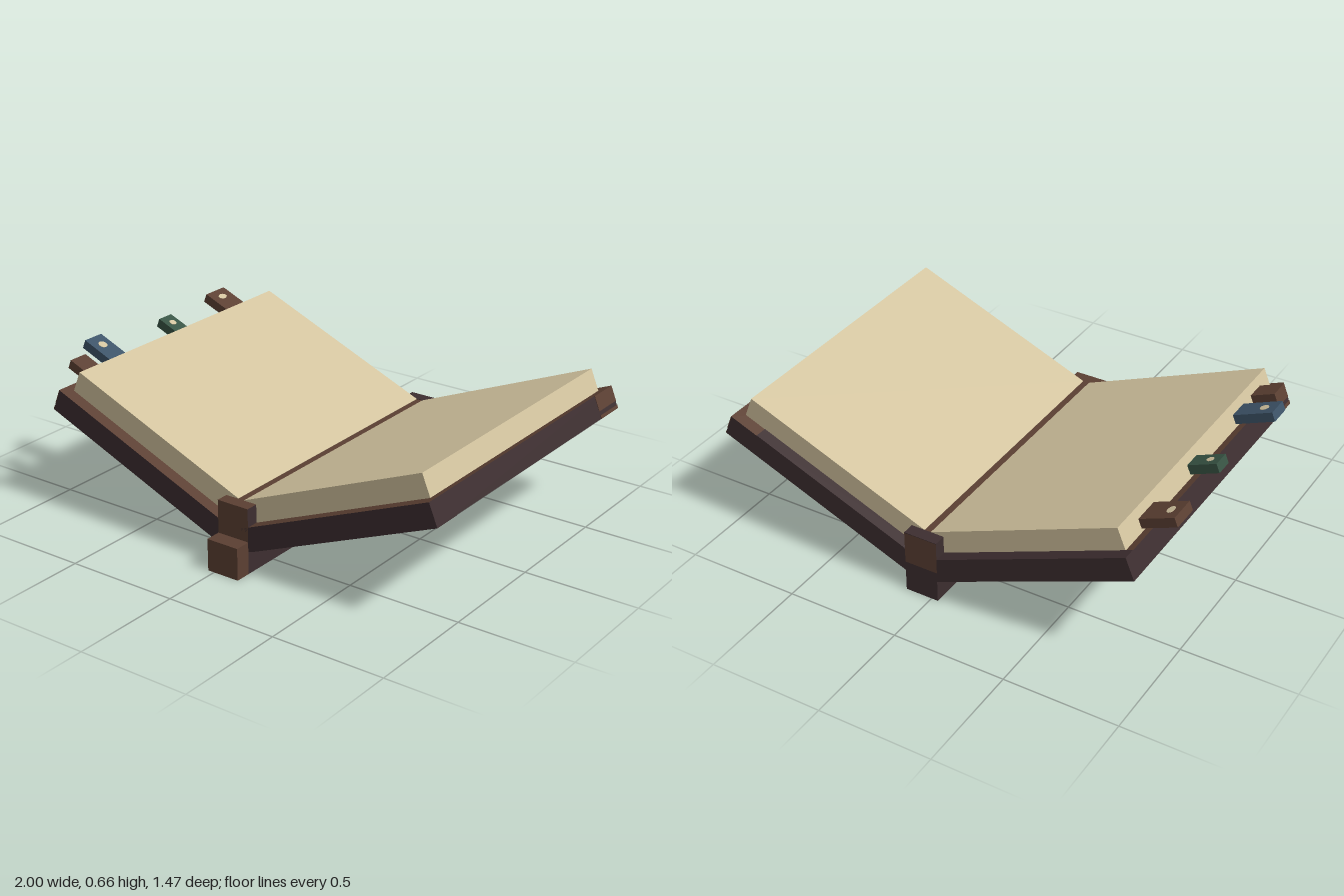
import * as THREE from 'three';

const mat = (name, color) => Object.assign(new THREE.MeshStandardMaterial({ color }), { name });

export function createModel() {
  const brown = mat('leather brown', 0x5c4033);
  const dark = mat('dark leather', 0x3d2e30);
  const cream = mat('page cream', 0xd3c49f);
  const blue = mat('blue ribbon', 0x3d5468);
  const green = mat('green ribbon', 0x385444);

  const TILT = Math.PI / 8, CX = 0.045, BACK = -0.735, FRONT = 0.66;
  const model = new THREE.Group();
  model.name = 'openBook';

  // Box given by its extents on each axis
  function box(parent, name, material, [x0, x1], [y0, y1], [z0, z1]) {
    const geo = new THREE.BoxGeometry(Math.abs(x1 - x0), y1 - y0, z1 - z0);
    const mesh = new THREE.Mesh(geo, material);
    mesh.position.set((x0 + x1) / 2, (y0 + y1) / 2, (z0 + z1) / 2);
    mesh.name = name;
    parent.add(mesh);
    return mesh;
  }

  // Spine: dark lower block, brown upper block, protruding front end
  const sx = [-0.03, 0.12];
  box(model, 'spineLower', [dark, dark, brown, dark, brown, dark], sx, [0, 0.14], [BACK, FRONT]);
  box(model, 'spineUpper', [dark, dark, brown, dark, brown, brown], sx, [0.14, 0.285], [BACK, FRONT]);
  box(model, 'spineBackTrim', dark, sx, [0.284, 0.287], [BACK, -0.68]);
  box(model, 'spineTail', [brown, brown, brown, dark, brown, brown], sx, [0, 0.14], [FRONT, 0.73]);

  // Each half lies in a tilted frame: u runs outward from the spine, y is its normal
  const halves = {};
  for (const s of [1, -1]) {
    const side = s > 0 ? 'left' : 'right';
    const half = new THREE.Group();
    half.name = side + 'Half';
    half.position.x = CX;
    half.rotation.z = s * TILT;
    model.add(half);
    halves[side] = half;
    const u = (a, b) => [s * a, s * b];

    box(half, side + 'Cover', [dark, dark, brown, brown, dark, dark], u(0.1, 1.054), [0.0615, 0.161], [BACK, FRONT]);
    box(half, side + 'Pages', cream, u(0.123, 1.022), [0.161, 0.259], [-0.68, 0.605]);

    // Dark bands on the cover's back margin and front underside
    box(half, side + 'BackTrim', dark, u(0.15, s > 0 ? 0.92 : 1.054), [0.16, 0.163], [BACK, -0.68]);
    box(half, side + 'UndersideTrim', dark, u(0.12, 1.054), [0.0595, 0.0625], [0.525, FRONT]);

    // Brown corner bands on the outer edge, at diagonally opposite corners
    const zc = s > 0 ? [BACK, -0.59] : [0.525, FRONT];
    for (const y of [[0.0615, 0.076], [0.094, 0.161]])
      box(half, side + 'CornerBand', brown, u(1.053, 1.056), y, zc);
  }

  // Bookmark tabs: outer end, z range, colour, dot position and radii
  const tabs = [
    ['backBookmark', brown, 1.182, [-0.545, -0.42], [1.134, 0.016, 0.024]],
    ['greenBookmark', green, 1.155, [-0.14, -0.06], [1.107, 0.016, 0.016]],
    ['blueBookmark', blue, 1.204, [0.27, 0.37], [1.145, 0.02, 0.02]],
    ['frontBookmark', brown, 1.134, [0.44, 0.53], null],
  ];
  for (const [name, material, end, z, dot] of tabs) {
    box(halves.right, name, material, [-end, -1.0], [0.175, 0.216], z);
    if (!dot) continue;
    const disc = new THREE.Mesh(new THREE.CylinderGeometry(1, 1, 0.003, 12), cream);
    disc.name = name + 'Dot';
    disc.scale.set(dot[1], 1, dot[2]);
    disc.position.set(-dot[0], 0.2165, (z[0] + z[1]) / 2);
    halves.right.add(disc);
  }
  return model;
}
